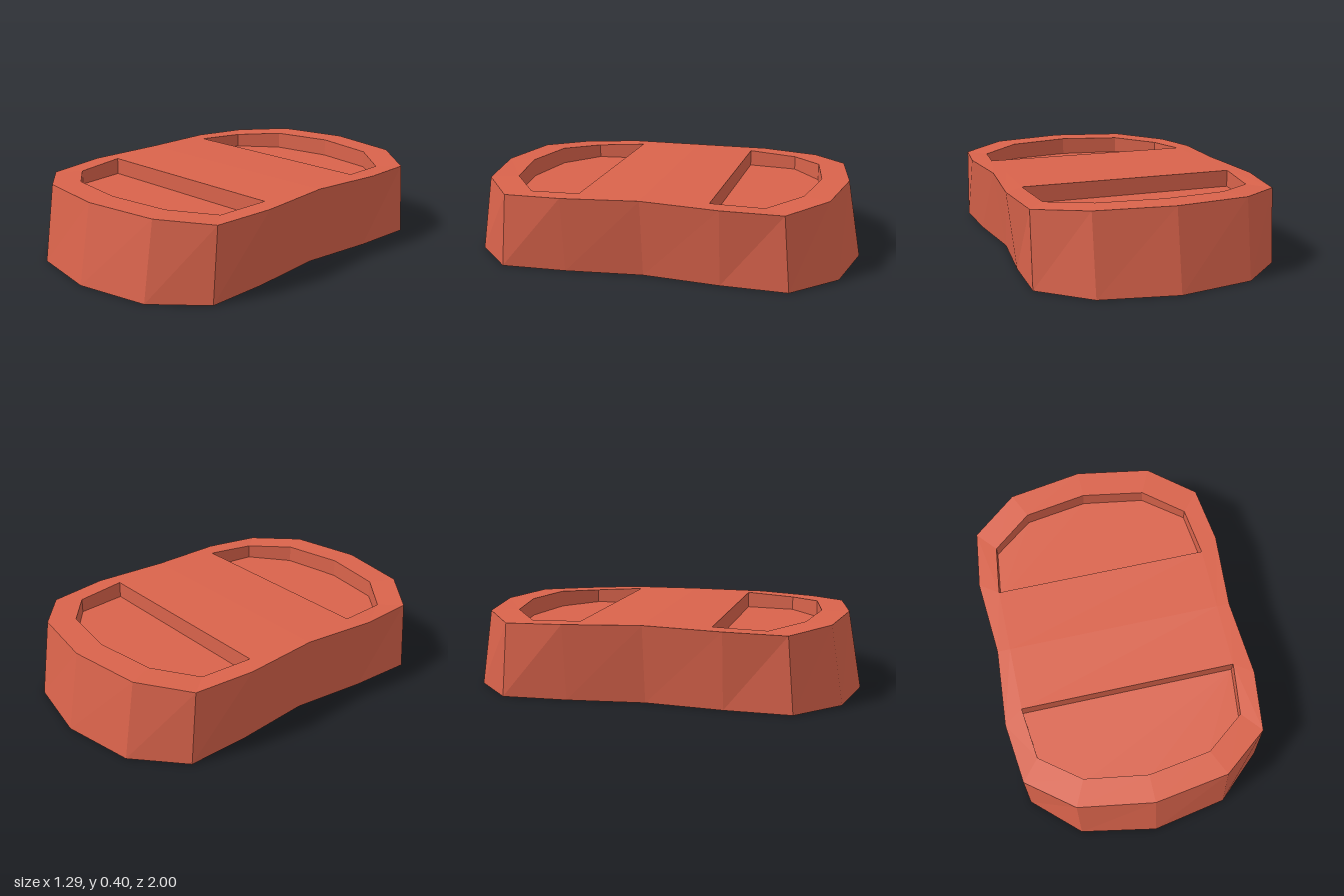
import * as THREE from 'three';

// Mirror a run of points (x > 0 side, ending at x = 0) over to the -x side.
const mirror = (half) => [...half, ...half.slice(0, -1).reverse().map(([x, y, z]) => [-x, y, z])];
const atHeight = (pts, y) => pts.map(([x, , z]) => [x, y, z]);

// Quads between two matching rows of points.
function strip(a, b, closed = false) {
  const out = [];
  const n = closed ? a.length : a.length - 1;
  for (let i = 0; i < n; i++) {
    const j = (i + 1) % a.length;
    out.push(a[i], a[j], b[j], a[i], b[j], b[i]);
  }
  return out;
}

// Flat convex polygon as a fan.
function fan(p, up) {
  const out = [];
  for (let i = 1; i < p.length - 1; i++) {
    out.push(p[0], up ? p[i + 1] : p[i], up ? p[i] : p[i + 1]);
  }
  return out;
}

function toGeometry(...parts) {
  const g = new THREE.BufferGeometry();
  g.setAttribute('position', new THREE.Float32BufferAttribute(parts.flat(2), 3));
  g.computeVertexNormals();
  return g;
}

export function createModel() {
  const model = new THREE.Group();
  model.name = 'recessedBlock';
  const clay = new THREE.MeshStandardMaterial({ color: 0xd9634b });
  clay.name = 'terracottaRed';

  // Outlines of one end, from the waist round to the tip
  const top = mirror([[0.615, 0.392, 0], [0.645, 0.385, 0.39], [0.61, 0.373, 0.69], [0.38, 0.39, 0.87], [0, 0.395, 0.93]]);
  const base = mirror([[0.56, 0, 0], [0.6, 0, 0.39], [0.61, 0, 0.72], [0.38, 0, 0.93], [0, 0, 1]]);

  // Rims of the upper and lower recesses
  const upper = mirror([[0.55, 0.388, 0.325], [0.52, 0.375, 0.585], [0.32, 0.39, 0.74], [0, 0.395, 0.79]]);
  const lower = mirror([[0.49, 0, 0.325], [0.485, 0, 0.58], [0.295, 0, 0.76], [0, 0, 0.8]]);
  const floor = atHeight(upper, 0.303);
  const ceiling = atHeight(lower, 0.085);

  // Rows across the middle: waist line and the straight recess edge
  const waist = (w, x, y) => [[w, y, 0], [x, y, 0], [-x, y, 0], [-w, y, 0]];
  const edgeRow = (outline, rim) => [outline[1], rim[0], rim[rim.length - 1], outline[outline.length - 2]];
  const inner = (row) => row.slice(1, -1);

  const parts = {
    sideWall: toGeometry(strip(top, base)),
    topFace: toGeometry(
      strip(upper, inner(top)),
      strip(waist(0.615, 0.55, 0.392), edgeRow(top, upper))),
    bottomFace: toGeometry(
      strip(inner(base), lower),
      strip(edgeRow(base, lower), waist(0.56, 0.49, 0))),
    upperRecess: toGeometry(strip(floor, upper, true), fan(floor, true)),
    lowerRecess: toGeometry(strip(lower, ceiling, true), fan(ceiling, false)),
  };

  // Both ends are the same, turned half round
  ['front', 'back'].forEach((end, i) => {
    const half = new THREE.Group();
    half.name = end + 'Half';
    half.rotation.y = i * Math.PI;
    for (const [name, geometry] of Object.entries(parts)) {
      const mesh = new THREE.Mesh(geometry, clay);
      mesh.name = name;
      half.add(mesh);
    }
    model.add(half);
  });
  return model;
}
